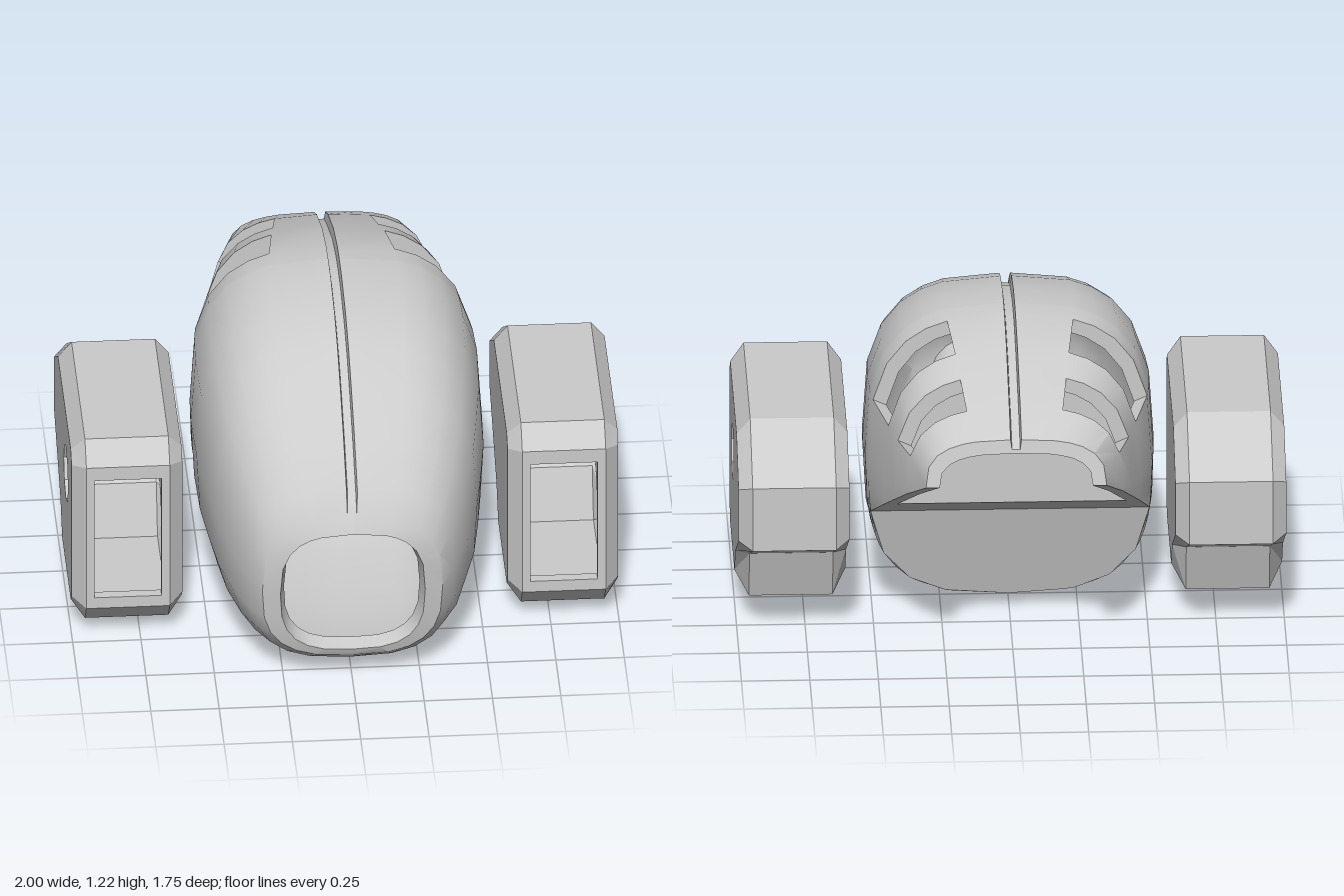
import * as THREE from 'three';
import { toCreasedNormals } from 'three/addons/utils/BufferGeometryUtils.js';

const material = new THREE.MeshStandardMaterial({ color: 0xcccccc, side: THREE.DoubleSide });

// Surface through rows of points; skip(i, j) leaves a cell open
function grid(rows, name, crease = 0.6, skip = () => false) {
  const n = rows[0].length, index = [];
  for (let i = 0; i + 1 < rows.length; i++) {
    for (let j = 0; j + 1 < n; j++) {
      if (skip(i, j)) continue;
      const a = i * n + j, b = a + 1, c = a + n + 1, d = a + n;
      index.push(a, b, c, a, c, d);
    }
  }
  const geometry = new THREE.BufferGeometry();
  geometry.setAttribute('position', new THREE.Float32BufferAttribute(rows.flat(2), 3));
  geometry.setIndex(index);
  return named(toCreasedNormals(geometry, crease), name);
}

function named(geometry, name) {
  const mesh = new THREE.Mesh(geometry, material);
  mesh.name = name;
  return mesh;
}

// Hull stations, front to rear: z, lean, centre y, top y, bottom y, half width, groove depth
const stations = [
  [0.85, 0.1, 0.39, 0.65, 0.13, 0.265, 0],
  [0.835, 0.07, 0.4, 0.7, 0.1, 0.33, 0],
  [0.78, 0.05, 0.43, 0.8, 0.06, 0.375, 0.03],
  [0.65, 0, 0.48, 0.935, 0.025, 0.435, 0.04],
  [0.5, 0, 0.525, 1.04, 0.01, 0.48, 0.04],
  [0.35, 0, 0.57, 1.13, 0.005, 0.505, 0.04],
  [0.2, 0, 0.6, 1.185, 0.015, 0.525, 0.04],
  [0, 0, 0.625, 1.22, 0.035, 0.532, 0.04],
  [-0.12, 0, 0.63, 1.222, 0.06, 0.527, 0.04],
  [-0.125, 0, 0.63, 1.222, 0.06, 0.527, 0.04],
  [-0.14, 0, 0.63, 1.221, 0.06, 0.526, 0.04],
  [-0.17, 0, 0.63, 1.219, 0.062, 0.523, 0.04],
  [-0.22, 0, 0.63, 1.215, 0.065, 0.517, 0.04],
  [-0.42, 0, 0.64, 1.17, 0.08, 0.467, 0.04],
  [-0.545, 0, 0.67, 1.12, 0.1, 0.435, 0.04],
  [-0.7, 0, 0.73, 1.06, 0.1, 0.395, 0.04],
  [-0.87, 0.23, 0.82, 0.99, 0.1, 0.33, 0.035],
];
const CORNER = 12, WALL = 13, TIP = 16;

// Height of the undercut below the tail
function cutHeight(z, bottom) {
  if (z >= -0.12) return bottom;
  if (z >= -0.22) return 0.06 + (-0.12 - z) * 3.8;
  return 0.44 + (-0.22 - z) * 0.585;
}

// Rounded cross-section, from the left bottom over the grooved top to the right bottom
function section([z, lean, yc, top, bottom, w, groove], wall = 0) {
  const p = 2 / 2.9, t = top - wall, half = [];
  const put = (x, y) => half.push([x, y, z + lean * (y - yc)]);
  const drop = Math.min(1, (yc - cutHeight(z, bottom)) / (yc - bottom));
  const start = -Math.asin(Math.pow(Math.max(0, drop), 1 / p));
  for (let k = 0; k < 6; k++) {
    const a = start * (1 - k / 6);
    put((w - wall) * Math.pow(Math.max(0, Math.cos(a)), p), yc - (yc - bottom) * Math.pow(Math.max(0, Math.sin(-a)), p));
  }
  for (const deg of [0, 17.5, 35, 50, 62, 72]) {
    const a = deg * Math.PI / 180;
    put((w - wall) * Math.pow(Math.cos(a), p), yc + (t - yc) * Math.pow(Math.sin(a), p));
  }
  const dip = wall ? 0 : groove;
  put(0.02, t);
  put(0.015, t - dip);
  put(0, t - dip);
  return [...half.map(([x, y, zz]) => [-x, y, zz]), ...half.slice(0, -1).reverse()];
}

function buildHull() {
  const hull = new THREE.Group();
  hull.name = 'hull';
  const outer = stations.map(s => section(s));
  const inner = stations.map(s => section(s, 0.05));
  const last = outer[0].length - 1;
  const isWindow = (i, j) => (i === CORNER || i === 14) && ((j >= 7 && j < 11) || (j >= 17 && j < 21));

  hull.add(grid(outer, 'hullShell', 0.6, isWindow));
  hull.add(grid(inner.slice(CORNER), 'tailLining', 0.6, (i, j) => isWindow(i + CORNER, j)));

  // Window reveals
  for (const i of [CORNER, 14]) {
    for (const j0 of [7, 17]) {
      const loop = [];
      for (let j = j0; j <= j0 + 4; j++) loop.push([i, j]);
      for (let j = j0 + 4; j >= j0; j--) loop.push([i + 1, j]);
      loop.push([i, j0]);
      hull.add(grid([outer, inner].map(s => loop.map(([a, b]) => s[a][b])), 'windowReveal', 0.3));
    }
  }

  // Rear lower face and closed part of the undercut
  hull.add(grid(outer.slice(8, WALL + 1).map(r => [r[0], r[last]]), 'undercut', 0.3));

  // Open tail: edges, rear rim and the wall at the end of the recess
  for (const j of [0, last]) {
    hull.add(grid([outer, inner].map(s => s.slice(WALL).map(r => r[j])), 'tailEdge', 0.3));
  }
  hull.add(grid([outer[TIP], inner[TIP]], 'tailRim', 0.3));
  hull.add(grid([inner[WALL].slice(0, 15), inner[WALL].slice(14).reverse()], 'recessWall', 0.3));

  // Lip of the front opening
  const lip = section([0.79, 0.1, 0.39, 0.63, 0.148, 0.248, 0]);
  hull.add(grid([outer[0], lip], 'frontOpeningLip', 0.6));
  return hull;
}

function buildPod(side) {
  const pod = new THREE.Group();
  pod.name = side > 0 ? 'leftPod' : 'rightPod';

  // Side outlines as [z, y]: the full one and the bevelled-in one
  const full = [[0.505, 0.75], [0.43, 0.83], [-0.25, 0.83], [-0.51, 0.665], [-0.51, 0.415],
    [-0.18, 0.26], [-0.12, 0.065], [0.43, 0.065], [0.505, 0.15]];
  const inset = [[0.445, 0.73], [0.4, 0.77], [-0.25, 0.77], [-0.46, 0.64], [-0.46, 0.435],
    [-0.12, 0.245], [-0.03, 0.13], [0.4, 0.13], [0.445, 0.17]];
  const rows = [[0.595, inset], [0.645, full], [0.95, full], [1, inset]]
    .map(([x, o]) => [...o, o[0]].map(([z, y]) => [x, y, z]));
  pod.add(grid(rows, 'podShell', 0.2, (i, j) => i === 1 && j === 8));

  // Side plates, the outer one with an eight-sided hole
  const plate = (x, hole) => {
    const shape = new THREE.Shape(inset.map(([z, y]) => new THREE.Vector2(-z, y)));
    if (hole) {
      const ring = [];
      for (let k = 0; k < 8; k++) {
        const a = k * Math.PI / 4;
        ring.push(new THREE.Vector2(-0.155 + 0.11 * Math.cos(a), 0.52 + 0.11 * Math.sin(a)));
      }
      shape.holes.push(new THREE.Path(ring));
    }
    const geometry = new THREE.ExtrudeGeometry(shape, { depth: 0.04, bevelEnabled: false });
    geometry.rotateY(Math.PI / 2).translate(x, 0, 0);
    pod.add(named(geometry, hole ? 'outerPlate' : 'innerPlate'));
  };
  plate(0.595, false);
  plate(0.96, true);

  // Frame around the front opening
  const rect = (x0, y0, x1, y1) => [[x0, y0], [x1, y0], [x1, y1], [x0, y1]].map(q => new THREE.Vector2(...q));
  const frame = new THREE.Shape(rect(0.645, 0.15, 0.95, 0.75));
  frame.holes.push(new THREE.Path(rect(0.675, 0.195, 0.92, 0.695)));
  pod.add(named(new THREE.ExtrudeGeometry(frame, { depth: 0.04, bevelEnabled: false }).translate(0, 0, 0.465), 'frontFrame'));

  pod.scale.x = side;
  return pod;
}

export function createModel() {
  const model = new THREE.Group();
  model.name = 'model';
  model.add(buildHull(), buildPod(1), buildPod(-1));
  return model;
}
